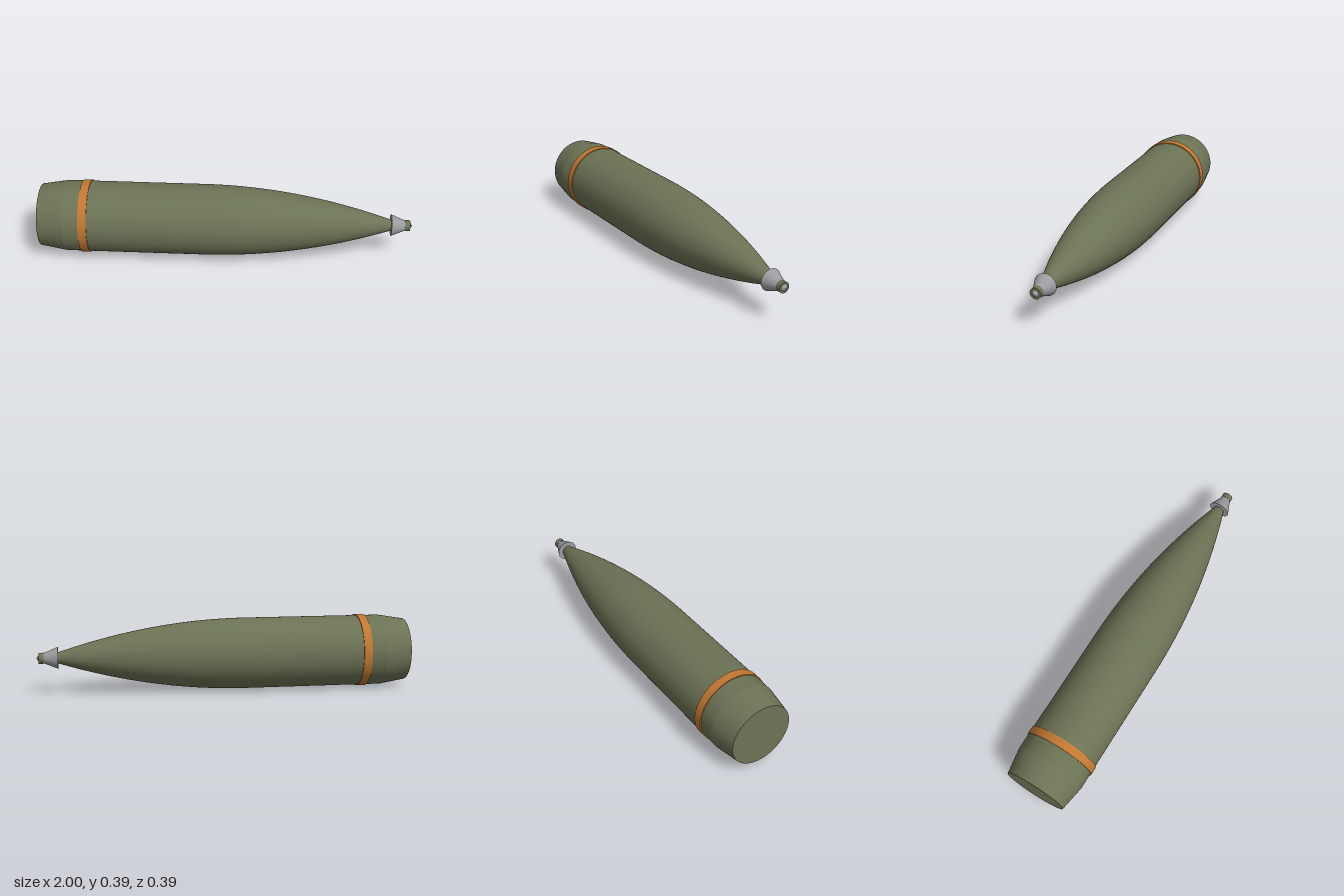
import * as THREE from 'three';
import { toCreasedNormals } from 'three/addons/utils/BufferGeometryUtils.js';

const AXIS_Y = 0.197;

export function createModel() {
  const material = (name, color) => {
    const m = new THREE.MeshStandardMaterial({ color });
    m.name = name;
    return m;
  };
  const olive = material('olive paint', 0x6b7355);
  const copper = material('copper', 0xc27832);
  const steel = material('steel', 0x9c9ca0);

  const shell = new THREE.Group();
  shell.name = 'artilleryShell';

  // Turns a profile of [x, radius] pairs, running from tail to nose, about the long axis
  const turn = (name, profile, mat) => {
    const points = profile.map(([x, r]) => new THREE.Vector2(r, x));
    const geometry = toCreasedNormals(new THREE.LatheGeometry(points, 72), 0.13);
    geometry.rotateZ(-Math.PI / 2);
    geometry.translate(0, AXIS_Y, 0);
    const mesh = new THREE.Mesh(geometry, mat);
    mesh.name = name;
    shell.add(mesh);
  };

  // Body: flat base, tapered tail, straight barrel, curved nose
  const body = [[-1, 0], [-1, 0.168], [-0.86, 0.191]];
  const noseStart = -0.12, noseLength = 1.01, steps = 24;
  for (let i = 0; i <= steps; i++) {
    const t = i / steps;
    body.push([noseStart + noseLength * t, 0.191 - 0.163 * t * t]);
  }
  body.push([0.9, 0]);
  turn('body', body, olive);

  // Driving band
  turn('drivingBand', [[-0.775, 0.188], [-0.775, 0.1965], [-0.73, 0.1965], [-0.73, 0.188]], copper);

  // Fuze: flared cone, painted collar and pointed tip
  turn('fuzeCone', [[0.886, 0], [0.886, 0.058], [0.963, 0.026], [0.963, 0]], steel);
  turn('fuzeCollar', [[0.96, 0], [0.96, 0.029], [0.987, 0.029], [0.987, 0]], olive);
  turn('fuzeTip', [[0.985, 0], [0.985, 0.021], [1, 0]], steel);

  return shell;
}
